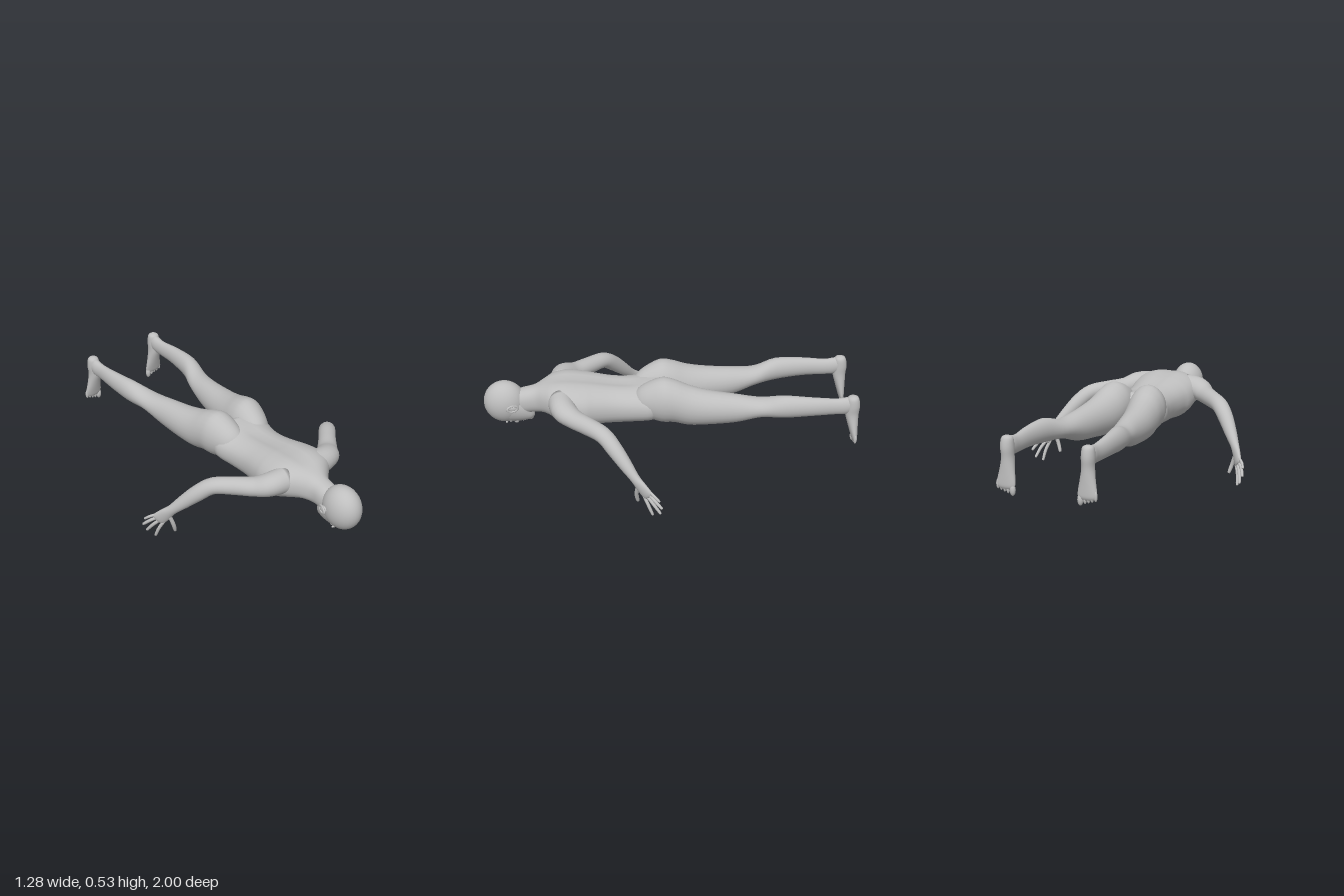
import * as THREE from 'three';

const skin = new THREE.MeshStandardMaterial({ color: 0xbfbfbf });
skin.name = 'plain grey';

const X = [1, 0, 0];

// Closed skin through sections [x, y, z, radius along side, radius across].
// With an axis every section faces it, otherwise sections follow the path.
function loft(name, sections, { side = X, axis = null, steps = 4, sides = 24, power = 2, rule = null } = {}) {
  const path = new THREE.CatmullRomCurve3(sections.map(s => new THREE.Vector3(s[0], s[1], s[2])), false, 'catmullrom');
  const size = new THREE.CatmullRomCurve3(sections.map(s => new THREE.Vector3(s[3], s[4], 0)), false, 'catmullrom');
  const n = (sections.length - 1) * steps;
  const pos = [], index = [];
  const round = v => Math.sign(v) * Math.abs(v) ** (2 / power);
  for (let i = 0; i <= n; i++) {
    const c = path.getPoint(i / n), r = size.getPoint(i / n);
    const t = axis ? new THREE.Vector3(...axis) : path.getTangent(i / n);
    const a = new THREE.Vector3(...side);
    a.addScaledVector(t, -a.dot(t)).normalize();
    const b = new THREE.Vector3().crossVectors(t, a);
    for (let j = 0; j < sides; j++) {
      const w = j / sides * Math.PI * 2;
      const p = c.clone().addScaledVector(a, r.x * round(Math.cos(w))).addScaledVector(b, r.y * round(Math.sin(w)));
      if (rule) rule(p, c);
      pos.push(p.x, p.y, p.z);
      if (i < n) {
        const k = i * sides, q = (j + 1) % sides;
        index.push(k + j, k + q, k + sides + q, k + j, k + sides + q, k + sides + j);
      }
    }
  }
  // end caps
  const first = path.getPoint(0), last = path.getPoint(1), m = pos.length / 3;
  pos.push(first.x, first.y, first.z, last.x, last.y, last.z);
  for (let j = 0; j < sides; j++) {
    const q = (j + 1) % sides;
    index.push(m, q, j, m + 1, n * sides + j, n * sides + q);
  }
  const g = new THREE.BufferGeometry();
  g.setAttribute('position', new THREE.Float32BufferAttribute(pos, 3));
  g.setIndex(index);
  g.computeVertexNormals();
  const mesh = new THREE.Mesh(g, skin);
  mesh.name = name;
  return mesh;
}

function ball(name, at, radii, detail = 24) {
  const mesh = new THREE.Mesh(new THREE.SphereGeometry(1, detail, Math.round(detail * 0.7)), skin);
  mesh.name = name;
  mesh.position.set(...at);
  mesh.scale.set(...radii);
  return mesh;
}

// A slim rounded finger from base to tip, bending at the middle
function finger(name, base, mid, tip, r) {
  const end = tip.map((v, i) => v + (mid[i] - v) * 0.12);
  return loft(name, [[...base, r, r], [...mid, r, r], [...end, r * 0.8, r * 0.8], [...tip, r * 0.25, r * 0.25]],
    { side: [0.5, 0.7, -0.53], sides: 10 });
}

function buildHead() {
  const head = new THREE.Group();
  head.name = 'head';
  head.add(ball('cranium', [0, 0.36, 0.885], [0.088, 0.118, 0.112], 32));
  head.add(loft('face', [
    [0, 0.28, 0.728, 0.015, 0.012], [0, 0.29, 0.745, 0.038, 0.037], [0, 0.315, 0.78, 0.06, 0.07],
    [0, 0.335, 0.83, 0.075, 0.093], [0, 0.355, 0.88, 0.082, 0.11], [0, 0.36, 0.93, 0.06, 0.08],
  ], { axis: [0, 0, 1] }));
  head.add(ball('nose', [0, 0.24, 0.828], [0.014, 0.02, 0.015], 16));
  head.add(ball('noseBridge', [0, 0.25, 0.848], [0.009, 0.016, 0.026], 16));
  head.add(ball('upperLip', [0, 0.247, 0.791], [0.023, 0.01, 0.006], 16));
  head.add(ball('lowerLip', [0, 0.249, 0.78], [0.02, 0.01, 0.006], 16));
  head.add(ball('chin', [0, 0.266, 0.75], [0.025, 0.02, 0.019], 16));
  for (const s of [1, -1]) {
    head.add(ball('eye', [s * 0.033, 0.258, 0.856], [0.014, 0.01, 0.009], 16));
    head.add(ball('brow', [s * 0.034, 0.256, 0.877], [0.024, 0.01, 0.007], 16));
    // ear: rim around a shallow bowl
    const rim = new THREE.Mesh(new THREE.TorusGeometry(0.021, 0.006, 8, 20), skin);
    rim.name = 'earRim';
    rim.position.set(s * 0.093, 0.362, 0.838);
    rim.rotation.y = s * (Math.PI / 2 + 0.35);
    rim.scale.set(1.3, 0.85, 1);
    head.add(rim, ball('earBowl', [s * 0.084, 0.36, 0.838], [0.01, 0.019, 0.024], 16));
  }
  return head;
}

function buildArm(s) {
  const arm = new THREE.Group();
  arm.name = s > 0 ? 'leftArm' : 'rightArm';
  const across = [0.5 * s, 0.7, -0.53];
  arm.add(loft('armAndPalm', [
    [0.10, 0.41, 0.58, 0.07, 0.07], [0.19, 0.405, 0.56, 0.062, 0.07], [0.25, 0.39, 0.51, 0.05, 0.055],
    [0.32, 0.385, 0.435, 0.047, 0.047], [0.395, 0.375, 0.355, 0.043, 0.045], [0.45, 0.325, 0.30, 0.043, 0.041],
    [0.50, 0.26, 0.245, 0.036, 0.033], [0.54, 0.205, 0.20, 0.028, 0.023], [0.562, 0.168, 0.17, 0.035, 0.018],
    [0.582, 0.13, 0.138, 0.038, 0.014], [0.588, 0.118, 0.128, 0.03, 0.008],
  ].map(([x, ...r]) => [x * s, ...r]), { side: across }));
  const tips = [[0.59, 0.005, 0.11], [0.617, 0.03, 0.07], [0.635, 0.073, 0.063], [0.632, 0.115, 0.075]];
  tips.forEach((tip, i) => {
    const k = -0.029 + i * 0.0193;
    const base = [0.58 + 0.5 * k, 0.133 + 0.7 * k, 0.14 - 0.53 * k];
    const mid = base.map((v, j) => (v + tip[j]) / 2 + [0.005, 0.003, 0][j]);
    const flip = p => [p[0] * s, p[1], p[2]];
    arm.add(finger('finger', flip(base), flip(mid), flip(tip), i === 3 ? 0.0075 : 0.009));
  });
  arm.add(finger('thumb', [0.553 * s, 0.165, 0.185], [0.532 * s, 0.1, 0.192], [0.515 * s, 0.045, 0.185], 0.011));
  return arm;
}

function buildLeg(s) {
  const leg = new THREE.Group();
  leg.name = s > 0 ? 'leftLeg' : 'rightLeg';
  const flip = ([x, ...r]) => [x * s, ...r];
  // buttock, thigh, knee, calf and ankle
  leg.add(loft('thighAndCalf', [
    [0.075, 0.37, 0.20, 0.03, 0.05], [0.085, 0.393, 0.15, 0.07, 0.085], [0.098, 0.405, 0.05, 0.098, 0.125],
    [0.104, 0.40, -0.02, 0.099, 0.121], [0.115, 0.378, -0.10, 0.094, 0.112], [0.13, 0.37, -0.20, 0.085, 0.096],
    [0.147, 0.37, -0.35, 0.07, 0.078], [0.17, 0.386, -0.48, 0.062, 0.052], [0.204, 0.405, -0.60, 0.05, 0.062],
    [0.216, 0.408, -0.75, 0.037, 0.053], [0.214, 0.405, -0.87, 0.028, 0.046], [0.215, 0.41, -0.93, 0.03, 0.048],
    [0.215, 0.42, -0.97, 0.026, 0.036],
  ].map(flip), { axis: [0, 0, -1] }));
  // foot hanging down from the heel
  leg.add(loft('foot', [
    [0.216, 0.468, -0.963, 0.01, 0.01], [0.216, 0.455, -0.961, 0.029, 0.03], [0.216, 0.41, -0.962, 0.034, 0.038],
    [0.215, 0.36, -0.96, 0.032, 0.036], [0.216, 0.30, -0.968, 0.04, 0.028], [0.218, 0.24, -0.977, 0.05, 0.019],
    [0.218, 0.215, -0.98, 0.047, 0.014], [0.218, 0.20, -0.98, 0.03, 0.006],
  ].map(flip), { axis: [0, -1, 0] }));
  for (let i = 0; i < 5; i++) {
    const r = i ? 0.0095 : 0.015;
    leg.add(ball('toe', [s * (i ? 0.188 + i * 0.0185 : 0.182), 0.2 + i * 0.006, -0.98], [r, i ? 0.026 : 0.03, r * 0.95], 14));
  }
  return leg;
}

export function createModel() {
  const figure = new THREE.Group();
  figure.name = 'proneFigure';
  // trunk from crotch to neck, with a shallow groove along the spine
  figure.add(loft('torso', [
    [0, 0.31, -0.07, 0.012, 0.02], [0, 0.335, -0.03, 0.05, 0.05], [0, 0.37, 0.05, 0.13, 0.095],
    [0, 0.37, 0.10, 0.178, 0.1], [0, 0.358, 0.20, 0.158, 0.104], [0, 0.358, 0.30, 0.152, 0.11],
    [0, 0.365, 0.40, 0.168, 0.118], [0, 0.367, 0.46, 0.184, 0.125], [0, 0.385, 0.55, 0.188, 0.114],
    [0, 0.395, 0.62, 0.16, 0.095], [0, 0.39, 0.67, 0.108, 0.082], [0, 0.375, 0.72, 0.066, 0.075],
    [0, 0.365, 0.78, 0.06, 0.07], [0, 0.36, 0.84, 0.05, 0.06],
  ], {
    axis: [0, 0, 1], sides: 36, power: 2.25,
    rule: (p, c) => {
      const along = THREE.MathUtils.smoothstep(p.z, 0.1, 0.25) * (1 - THREE.MathUtils.smoothstep(p.z, 0.55, 0.7));
      if (p.y > c.y) p.y -= 0.014 * along * Math.exp(-((p.x / 0.035) ** 2));
    },
  }));
  figure.add(buildHead());
  for (const s of [1, -1]) figure.add(buildArm(s), buildLeg(s));
  return figure;
}
